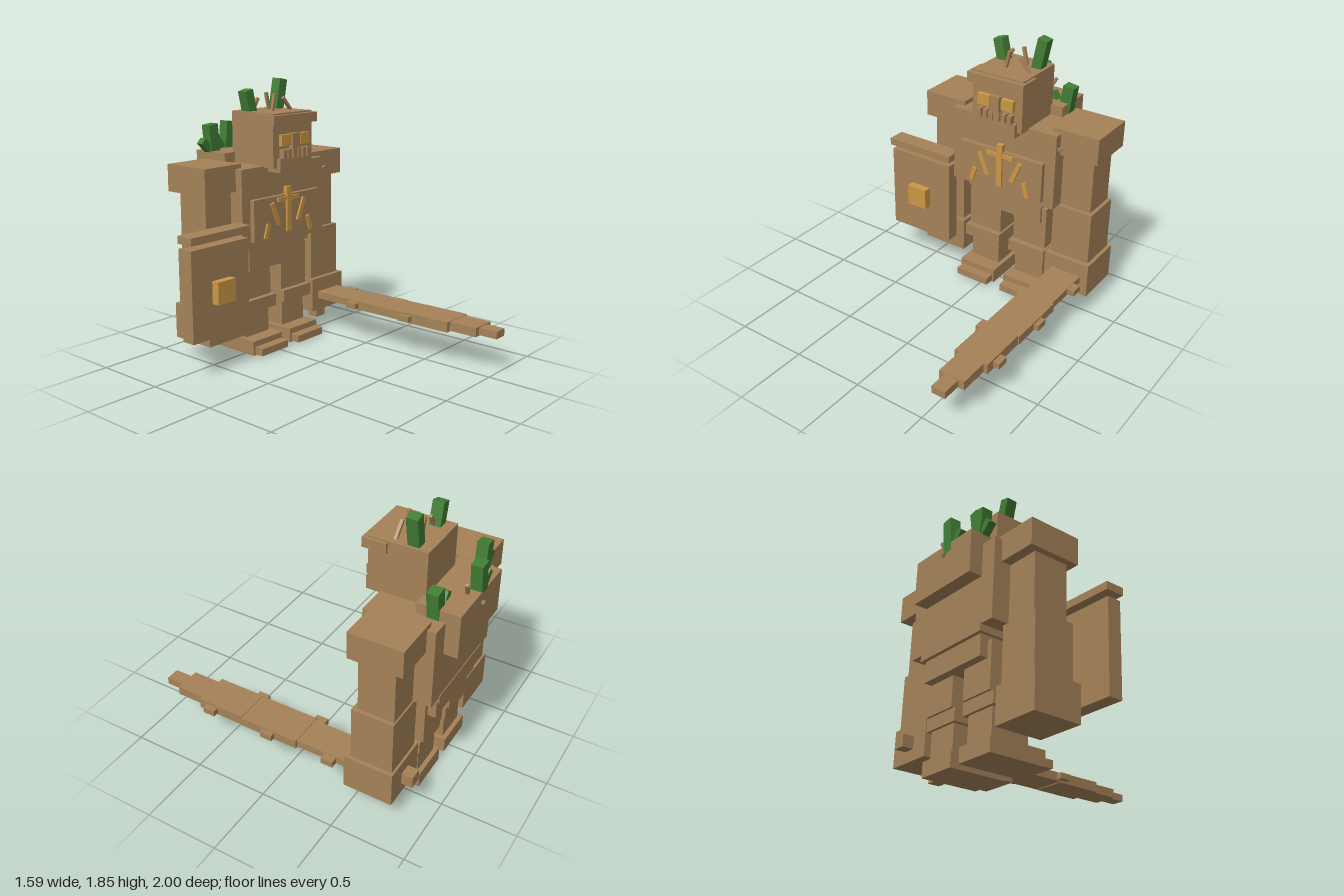
import * as THREE from 'three';

const wood = new THREE.MeshStandardMaterial({ color: 0xa58258 });
wood.name = 'bark brown';
const amber = new THREE.MeshStandardMaterial({ color: 0xcb9746 });
amber.name = 'amber glow';
const green = new THREE.MeshStandardMaterial({ color: 0x427e35 });
green.name = 'leaf green';

const CX = 0.115; // the body's own centre line

export function createModel() {
  const root = new THREE.Group();
  root.name = 'woodenGuardian';

  // Block between two extents on each axis
  const block = (name, x0, x1, y0, y1, z0, z1, mat = wood) => {
    const mesh = new THREE.Mesh(new THREE.BoxGeometry(x1 - x0, y1 - y0, z1 - z0), mat);
    mesh.position.set((x0 + x1) / 2, (y0 + y1) / 2, (z0 + z1) / 2);
    mesh.name = name;
    root.add(mesh);
    return mesh;
  };

  // Same block on both sides of the body's centre line
  const pair = (name, x0, x1, ...rest) => {
    block('left' + name, x0, x1, ...rest);
    block('right' + name, 2 * CX - x1, 2 * CX - x0, ...rest);
  };

  // Square bar running between two points
  const bar = (name, a, b, width, depth, mat) => {
    const from = new THREE.Vector3(...a), to = new THREE.Vector3(...b);
    const dir = to.clone().sub(from);
    const mesh = new THREE.Mesh(new THREE.BoxGeometry(width, dir.length(), depth), mat);
    mesh.position.copy(from).add(to).multiplyScalar(0.5);
    mesh.quaternion.setFromUnitVectors(new THREE.Vector3(0, 1, 0), dir.normalize());
    mesh.name = name;
    root.add(mesh);
  };

  // Trunk
  block('torso', -0.285, 0.515, 0.755, 1.29, -0.89, -0.425);
  block('chestPlate', -0.21, 0.44, 0.795, 1.08, -0.45, -0.39);
  block('backHump', -0.17, 0.395, 1.07, 1.36, -0.98, -0.7);
  block('belt', -0.185, 0.41, 0.71, 0.765, -0.895, -0.47);
  block('pelvis', -0.16, 0.39, 0.57, 0.715, -0.87, -0.49);

  // Arms
  pair('ShoulderPad', 0.465, 0.785, 1.14, 1.32, -0.835, -0.48);
  pair('UpperArm', 0.49, 0.74, 0.75, 1.15, -0.77, -0.53);
  pair('Forearm', 0.48, 0.765, 0.38, 0.755, -0.78, -0.5);
  pair('Hand', 0.455, 0.79, 0.145, 0.385, -0.795, -0.465);

  // Legs
  pair('Thigh', 0.17, 0.425, 0.37, 0.68, -0.815, -0.51);
  pair('Knee', 0.155, 0.44, 0.285, 0.37, -0.8, -0.47);
  pair('Shin', 0.185, 0.41, 0.1, 0.29, -0.78, -0.52);
  pair('Foot', 0.155, 0.44, 0, 0.1, -0.81, -0.415);
  pair('Toe', 0.17, 0.425, 0.01, 0.06, -0.42, -0.345);

  // Head
  block('head', -0.075, 0.305, 1.28, 1.64, -0.72, -0.34);
  block('brow', -0.1, 0.325, 1.565, 1.63, -0.465, -0.305);
  block('jaw', -0.04, 0.27, 1.25, 1.345, -0.5, -0.31);
  block('nose', 0.078, 0.148, 1.345, 1.505, -0.35, -0.305);
  pair('Eye', 0.16, 0.25, 1.425, 1.5, -0.35, -0.31, amber);
  for (const offset of [0.025, 0.07, 0.115])
    pair('Tooth', CX + offset - 0.016, CX + offset + 0.016, 1.34, 1.402, -0.34, -0.298);

  // Chest sigil
  block('sigilStem', 0.095, 0.138, 0.825, 1.135, -0.41, -0.375, amber);
  block('sigilBar', 0.01, 0.222, 1.04, 1.07, -0.41, -0.378, amber);
  for (const s of [-1, 1]) {
    bar('sigilLongRay', [CX + s * 0.095, 0.885, -0.39], [CX + s * 0.16, 1.04, -0.39], 0.032, 0.026, amber);
    bar('sigilShortRay', [CX + s * 0.225, 0.805, -0.39], [CX + s * 0.195, 0.905, -0.39], 0.032, 0.026, amber);
  }

  // Shield
  block('shield', -0.785, -0.29, 0.245, 0.85, -0.465, -0.37);
  block('shieldTopBar', -0.795, -0.28, 0.885, 0.935, -0.48, -0.355);
  block('shieldBoss', -0.615, -0.46, 0.475, 0.625, -0.38, -0.315, amber);

  // Sword: stepped blade, side teeth, pommel studs
  const blade = [ // x0, x1, y0, y1, z0, z1
    [0.515, 0.735, 0.235, 0.285, -0.48, -0.09],
    [0.5, 0.75, 0.23, 0.29, -0.09, 0.33],
    [0.502, 0.742, 0.225, 0.295, 0.33, 0.67],
    [0.535, 0.715, 0.23, 0.292, 0.67, 0.87],
    [0.575, 0.672, 0.235, 0.285, 0.87, 1.0],
  ];
  for (const b of blade) block('swordBlade', ...b);
  for (const z of [-0.337, 0.115, 0.568]) block('swordTooth', 0.7, 0.785, 0.24, 0.28, z - 0.042, z + 0.042);
  for (const z of [-0.112, 0.343]) block('swordTooth', 0.46, 0.55, 0.24, 0.28, z - 0.042, z + 0.042);
  block('swordPommel', 0.58, 0.665, 0.22, 0.3, -0.87, -0.78);
  block('handStud', 0.575, 0.67, 0.06, 0.15, -0.61, -0.53);

  // Green shoots: base, tip, width
  const shoots = [
    [[-0.005, 1.6, -0.615], [-0.048, 1.78, -0.615], 0.07],
    [[0.24, 1.6, -0.615], [0.288, 1.84, -0.615], 0.07],
    [[-0.112, 1.3, -0.875], [-0.138, 1.542, -0.875], 0.08],
    [[-0.13, 1.35, -0.875], [-0.22, 1.435, -0.875], 0.05],
    [[0.07, 1.3, -0.943], [0.097, 1.542, -0.943], 0.08],
    [[0.045, 1.34, -0.943], [-0.03, 1.43, -0.943], 0.05],
    [[0.355, 1.24, -0.812], [0.388, 1.475, -0.812], 0.08],
    [[0.33, 1.27, -0.815], [0.25, 1.4, -0.815], 0.05],
  ];
  for (const [a, b, w] of shoots) bar('greenShoot', a, b, w, w > 0.06 ? 0.074 : 0.052, green);

  // Twigs on the head and back
  const twigs = [
    [[0.0, 1.63, -0.605], [0.058, 1.722, -0.605]],
    [[0.075, 1.63, -0.49], [0.105, 1.755, -0.49]],
    [[0.168, 1.63, -0.605], [0.138, 1.755, -0.605]],
    [[0.265, 1.63, -0.49], [0.182, 1.725, -0.49]],
    [[0.5, 1.185, -0.45], [0.56, 1.21, -0.44]],
    [[0.16, 1.35, -0.91], [0.215, 1.45, -0.925]],
    [[0.11, 1.3, -0.95], [0.1, 1.285, -0.995]],
  ];
  for (const [a, b] of twigs) bar('twig', a, b, 0.02, 0.02, wood);

  return root;
}
